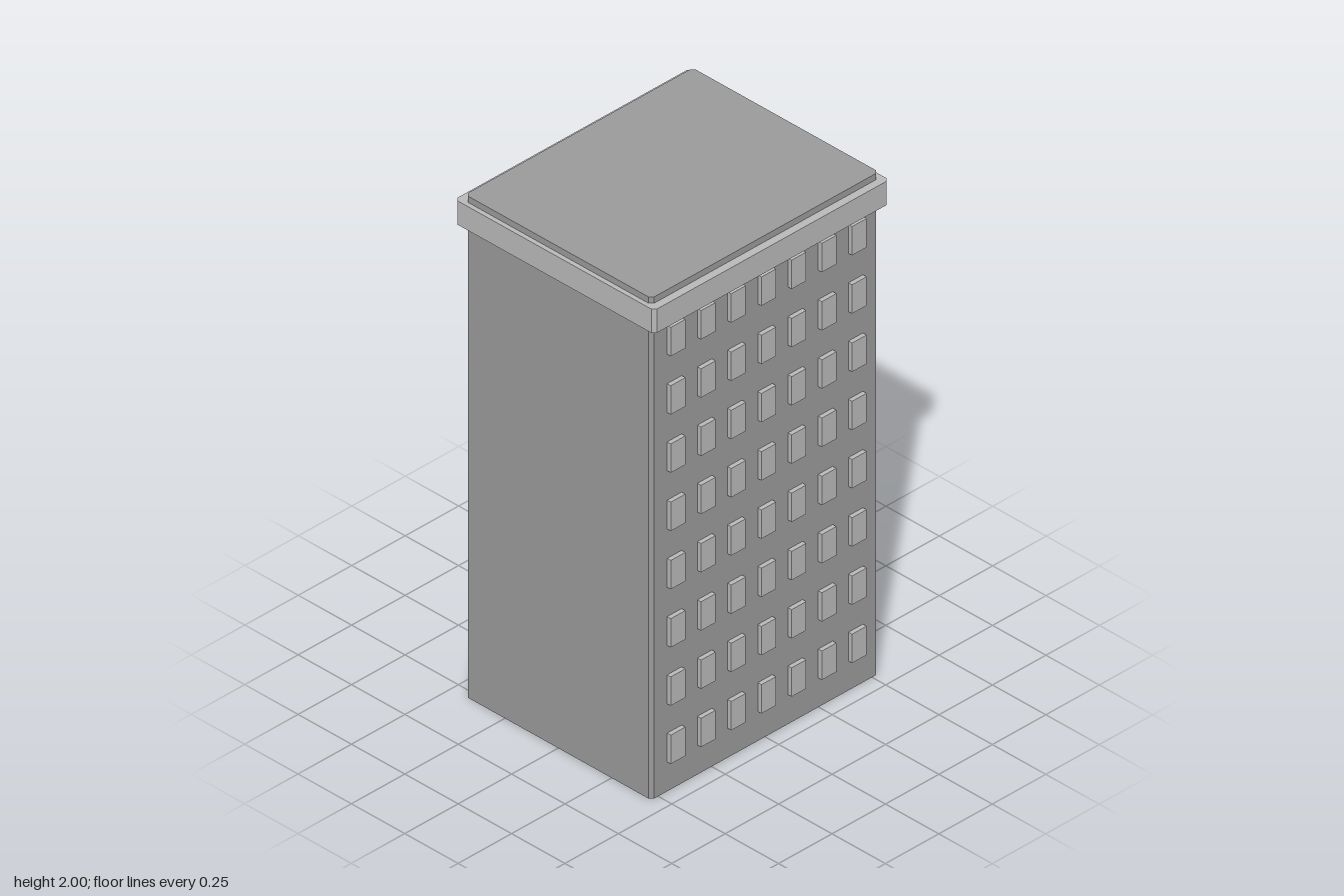
import * as THREE from 'three';

const wallMaterial = new THREE.MeshStandardMaterial({ color: 0x9a9a9a, flatShading: true });
const trimMaterial = new THREE.MeshStandardMaterial({ color: 0xb9b9b9, flatShading: true });

// Upright block with chamfered vertical corners, spanning y0..y1
function chamferedBlock(name, material, halfX, halfZ, y0, y1, c) {
  const outline = [
    [halfX, -halfZ + c], [halfX, halfZ - c], [halfX - c, halfZ], [-halfX + c, halfZ],
    [-halfX, halfZ - c], [-halfX, -halfZ + c], [-halfX + c, -halfZ], [halfX - c, -halfZ],
  ].map(([x, z]) => new THREE.Vector2(x, z));
  const geometry = new THREE.ExtrudeGeometry(new THREE.Shape(outline), { depth: y1 - y0, bevelEnabled: false });
  geometry.rotateX(-Math.PI / 2);
  geometry.translate(0, y0, 0);
  const mesh = new THREE.Mesh(geometry, material);
  mesh.name = name;
  return mesh;
}

export function createModel() {
  const building = new THREE.Group();
  building.name = 'towerBlock';

  // Main tower, rising slightly above the cornice
  building.add(chamferedBlock('tower', wallMaterial, 0.436, 0.532, 0, 2, 0.013));
  // Projecting lighter band around the roof
  building.add(chamferedBlock('cornice', trimMaterial, 0.467, 0.55, 1.88, 1.975, 0.013));

  // Eight floors of seven projecting windows on each long side
  const windowGeometry = new THREE.BoxGeometry(0.034, 0.115, 0.068);
  for (const side of [1, -1]) {
    const windows = new THREE.Group();
    windows.name = side > 0 ? 'leftWindows' : 'rightWindows';
    for (let floor = 0; floor < 8; floor++) {
      for (let column = -3; column <= 3; column++) {
        const pane = new THREE.Mesh(windowGeometry, trimMaterial);
        pane.name = 'window';
        pane.position.set(side * 0.436, 0.1745 + floor * 0.2322, column * 0.1413);
        windows.add(pane);
      }
    }
    building.add(windows);
  }
  return building;
}
